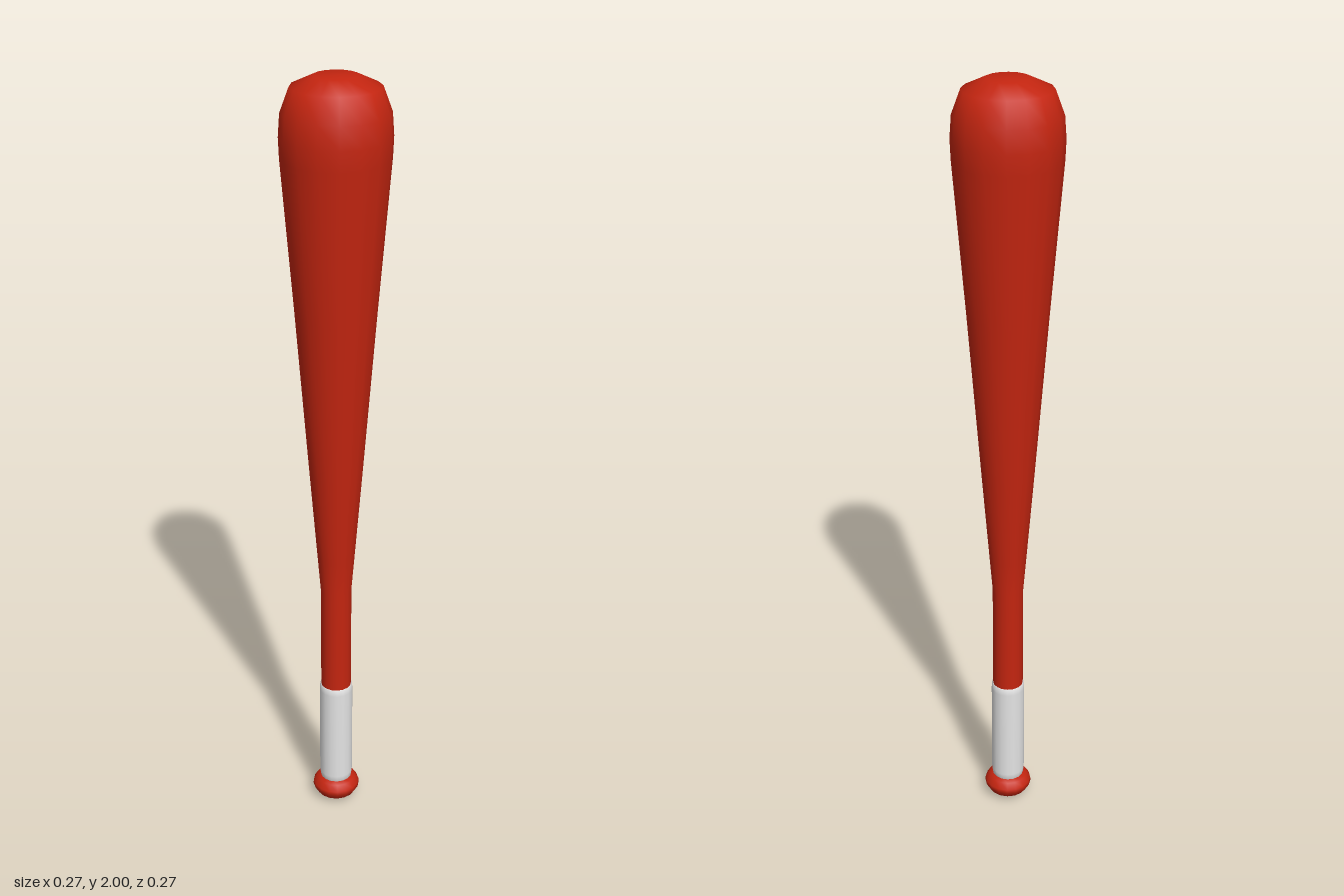
import * as THREE from 'three';

const SIDES = 16;

// Turned part from [radius, height] pairs, bottom to top
function turned(name, profile, material) {
  const points = profile.map(([r, y]) => new THREE.Vector2(r, y));
  const mesh = new THREE.Mesh(new THREE.LatheGeometry(points, SIDES), material);
  mesh.name = name;
  return mesh;
}

export function createModel() {
  const red = new THREE.MeshStandardMaterial({ color: 0xc42510 });
  red.name = 'red paint';
  const white = new THREE.MeshStandardMaterial({ color: 0xe4e4e4 });
  white.name = 'white grip tape';

  const bat = new THREE.Group();
  bat.name = 'bat';

  // Rounded end knob
  bat.add(turned('knob', [
    [0, 0], [0.03, 0.003], [0.052, 0.017], [0.063, 0.036],
    [0.062, 0.046], [0.052, 0.062], [0.038, 0.07], [0, 0.071],
  ], red));

  // Tape wrapped round the handle, with closed ends
  bat.add(turned('grip', [
    [0.038, 0.066], [0.042, 0.068], [0.044, 0.085], [0.044, 0.35],
    [0.043, 0.367], [0.038, 0.369],
  ], white));

  // Straight handle, tapered barrel and domed tip
  bat.add(turned('handleAndBarrel', [
    [0.04, 0.06], [0.04, 0.36], [0.04, 0.66], [0.048, 0.76], [0.067, 1.0],
    [0.1, 1.43], [0.131, 1.81], [0.133, 1.86], [0.129, 1.915],
    [0.107, 1.974], [0.053, 1.999], [0, 2],
  ], red));

  return bat;
}
